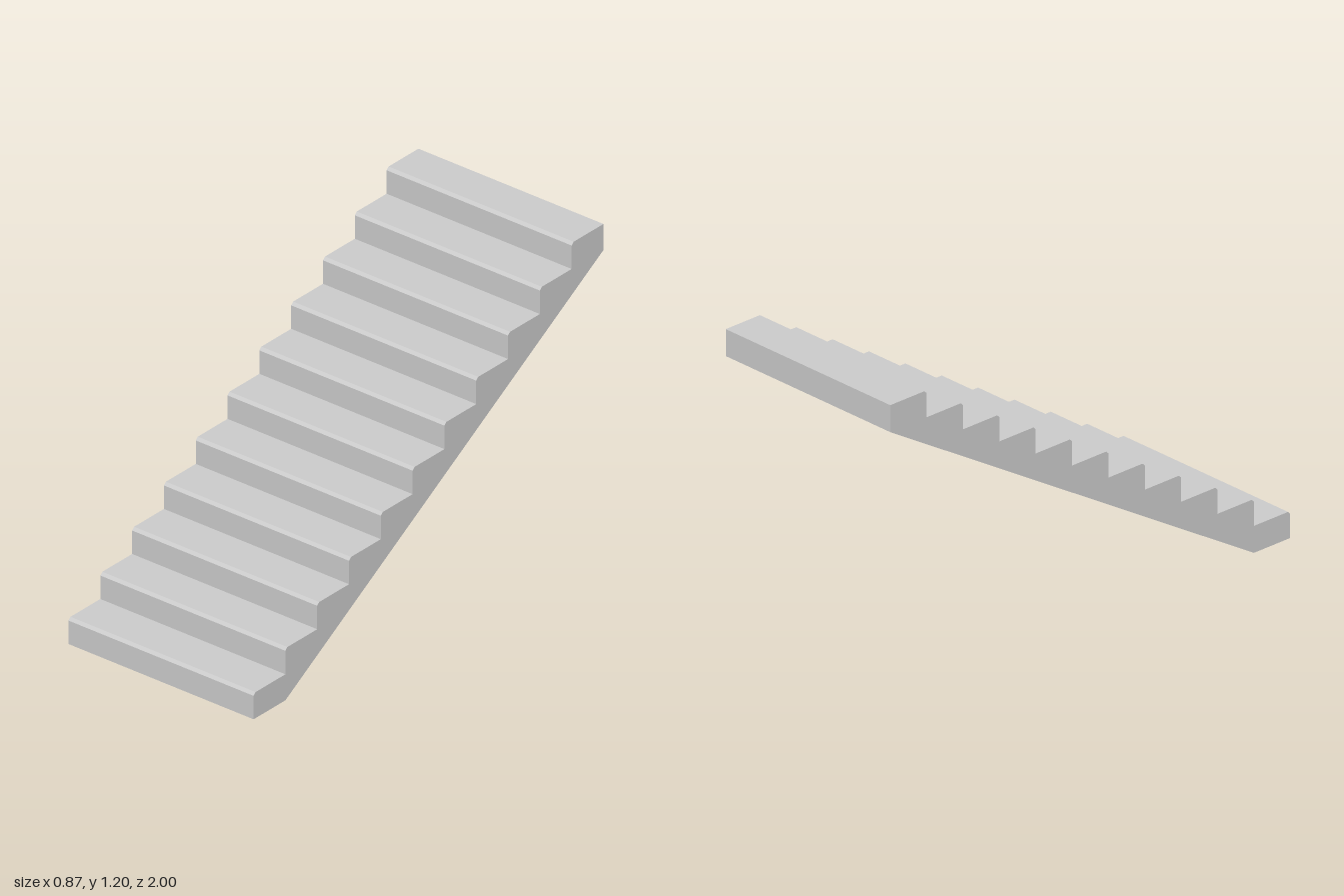
import * as THREE from 'three';

const STEPS = 11, WIDTH = 0.874, HEIGHT = 1.2, LENGTH = 2;
const RISE = HEIGHT / STEPS, RUN = LENGTH / STEPS, CHAMFER = 0.011;

export function createModel() {
  const group = new THREE.Group();
  group.name = 'staircase';

  // Side profile: shape x becomes world z, the lowest step is at the front
  const profile = new THREE.Shape();
  profile.moveTo(LENGTH / 2, 0);
  for (let i = 0; i < STEPS; i++) {
    const front = LENGTH / 2 - i * RUN;
    const top = (i + 1) * RISE;
    // Riser, chamfered nosing, tread
    profile.lineTo(front, top - CHAMFER);
    profile.lineTo(front - CHAMFER, top);
    profile.lineTo(front - RUN, top);
  }
  // Short back face, then the sloping underside down to the foot
  profile.lineTo(-LENGTH / 2, HEIGHT - RISE);
  profile.lineTo(LENGTH / 2 - RUN, 0);
  profile.closePath();

  const geometry = new THREE.ExtrudeGeometry(profile, { depth: WIDTH, bevelEnabled: false });
  geometry.translate(0, 0, -WIDTH / 2);
  geometry.rotateY(-Math.PI / 2);

  const flight = new THREE.Mesh(
    geometry,
    new THREE.MeshStandardMaterial({ color: 0xcccccc, flatShading: true })
  );
  flight.name = 'stairFlight';
  group.add(flight);
  return group;
}
